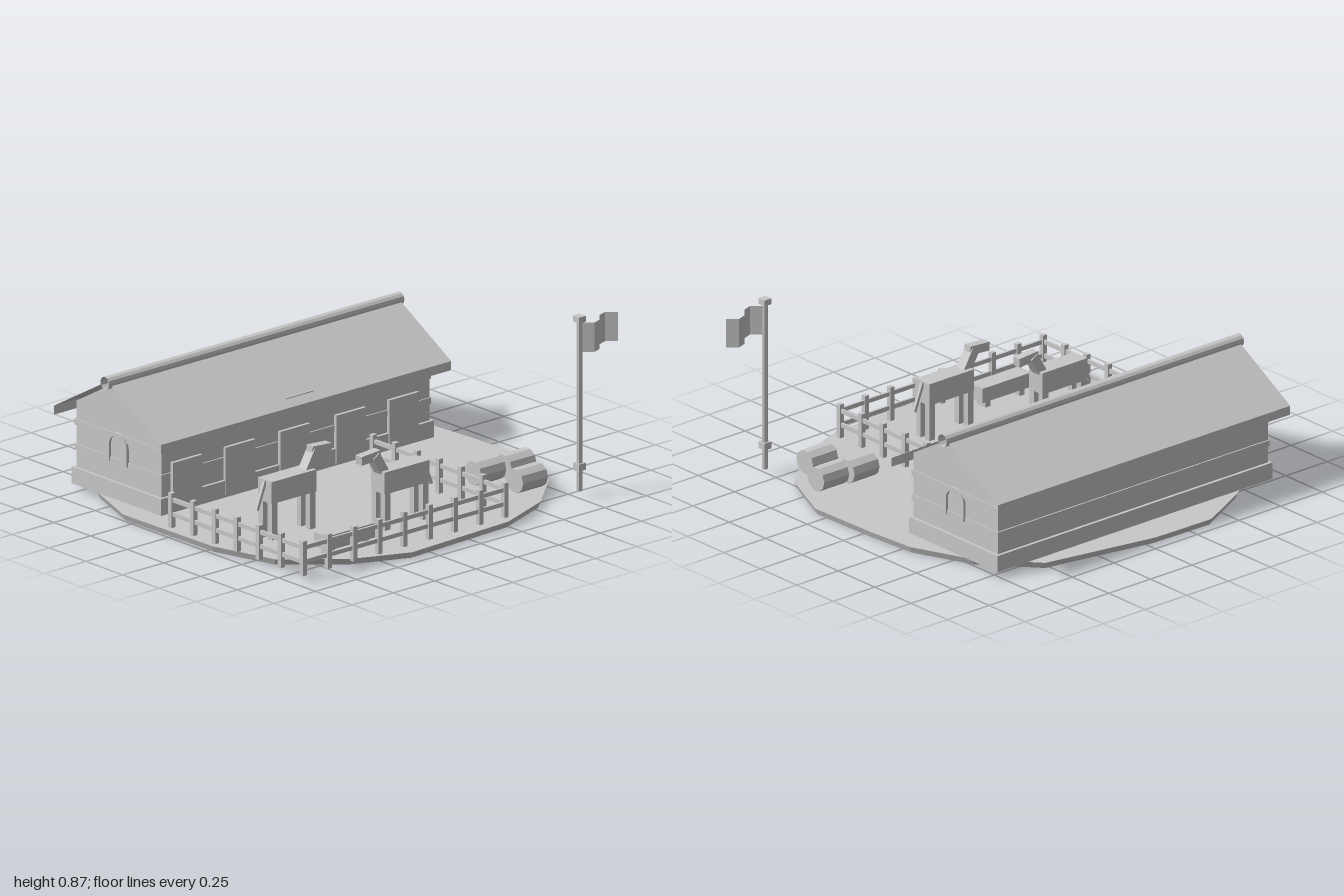
import * as THREE from 'three';

export function createModel() {
  const root = new THREE.Group();
  const clay = new THREE.MeshStandardMaterial({ color: 0xc8c8c8, flatShading: true, side: THREE.DoubleSide });
  clay.name = 'plain grey';

  const group = (name, parent = root) => {
    const g = new THREE.Group();
    g.name = name;
    parent.add(g);
    return g;
  };
  const mesh = (name, geo, parent = root) => {
    const m = new THREE.Mesh(geo, clay);
    m.name = name;
    parent.add(m);
    return m;
  };
  // Box given by its lower and upper limits on each axis
  const box = (name, x0, x1, y0, y1, z0, z1, parent) => {
    const m = mesh(name, new THREE.BoxGeometry(x1 - x0, y1 - y0, z1 - z0), parent);
    m.position.set((x0 + x1) / 2, (y0 + y1) / 2, (z0 + z1) / 2);
    return m;
  };
  // Bar running between two points in a plane of constant z
  const bar = (name, a, b, thick, width, parent) => {
    const dx = b[0] - a[0], dy = b[1] - a[1];
    const m = mesh(name, new THREE.BoxGeometry(Math.hypot(dx, dy), thick, width), parent);
    m.position.set((a[0] + b[0]) / 2, (a[1] + b[1]) / 2, 0);
    m.rotation.z = Math.atan2(dy, dx);
    return m;
  };
  // Sheet without thickness, made from a (y, z) profile swept along x
  const sheet = (name, profile, x0, x1, parent) => {
    const geo = new THREE.PlaneGeometry(1, 1, 1, profile.length - 1);
    const p = geo.attributes.position;
    for (let i = 0; i < p.count; i++) {
      const [y, z] = profile[i >> 1];
      p.setXYZ(i, i % 2 ? x1 : x0, y, z);
    }
    geo.computeVertexNormals();
    return mesh(name, geo, parent);
  };

  // Ground: irregular rounded slab, slightly narrower below
  const outline = [
    [0.9, 0.31], [0.77, 0.6], [0.53, 0.81], [0.24, 0.92], [-0.37, 0.95], [-0.65, 0.83],
    [-0.9, 0.61], [-0.99, 0.29], [-1, -0.31], [-0.88, -0.62], [-0.66, -0.81], [-0.37, -0.96],
    [-0.04, -0.955], [0.53, -0.85], [0.75, -0.6], [0.87, -0.31], [0.89, -0.05],
  ];
  const groundGeo = new THREE.ExtrudeGeometry(
    new THREE.Shape(outline.map(([x, z]) => new THREE.Vector2(x, -z))), { depth: 0.03, bevelEnabled: false });
  groundGeo.rotateX(-Math.PI / 2);
  const gp = groundGeo.attributes.position;
  for (let i = 0; i < gp.count; i++) {
    if (gp.getY(i) < 0.01) gp.setXYZ(i, gp.getX(i) * 0.988, 0, gp.getZ(i) * 0.988);
  }
  groundGeo.computeVertexNormals();
  mesh('ground', groundGeo);

  // Barn body: gabled block with horizontal boards
  const barn = group('barn');
  const alongX = (shape, x0, depth) => {
    const geo = new THREE.ExtrudeGeometry(shape, { depth, bevelEnabled: false, curveSegments: 8 });
    return geo.rotateY(Math.PI / 2).translate(x0, 0, 0);
  };
  const gable = new THREE.Shape([[0.195, 0.03], [0.775, 0.03], [0.775, 0.425], [0.485, 0.593], [0.195, 0.425]]
    .map(([u, y]) => new THREE.Vector2(u, y)));
  mesh('walls', alongX(gable, -0.87, 1.62), barn);
  box('baseCourse', -0.885, 0.765, 0.03, 0.11, -0.79, -0.18, barn);
  for (const [y0, y1] of [[0.19, 0.22], [0.31, 0.34]]) {
    box('wallBoard', -0.875, 0.755, y0, y1, -0.782, -0.188, barn);
  }

  // Arched window frames on both gable ends
  const arch = new THREE.Shape();
  arch.moveTo(0.417, 0.2).lineTo(0.432, 0.2).lineTo(0.432, 0.28);
  arch.absarc(0.485, 0.28, 0.053, Math.PI, 0, true);
  arch.lineTo(0.538, 0.2).lineTo(0.553, 0.2).lineTo(0.553, 0.28);
  arch.absarc(0.485, 0.28, 0.068, 0, Math.PI, false);
  for (const x of [-0.883, 0.75]) mesh('archFrame', alongX(arch, x, 0.013), barn);

  // Stable doors and the lintel beam
  for (const x of [-0.73, -0.41, -0.08, 0.26, 0.58]) {
    box('stableDoor', x - 0.09, x + 0.09, 0.04, 0.27, -0.19, -0.174, barn);
  }
  box('lintel', -0.62, 0.5, 0.335, 0.37, -0.19, -0.177, barn);

  // Roof sheets with hanging eaves and a ridge roll
  for (const s of [1, -1]) {
    const z = (d) => -0.49 + s * d;
    sheet('roofSlope', [[0.605, z(0)], [0.395, z(0.365)]], -0.935, 0.82, barn);
    sheet('eave', [[0.395, z(0.365)], [0.352, z(0.365)]], -0.935, 0.82, barn);
  }
  const ridge = mesh('ridgeRoll', new THREE.CylinderGeometry(0.03, 0.03, 1.785, 12, 1, true), barn);
  ridge.rotation.z = Math.PI / 2;
  ridge.position.set(-0.058, 0.6, -0.49);
  box('roofBatten', -0.14, 0.025, 0.41, 0.425, -0.181, -0.169, barn);

  // Paddock fence on three sides
  const fence = group('fence');
  const post = (x, z) => box('fencePost', x - 0.012, x + 0.012, 0.03, 0.195, z - 0.012, z + 0.012, fence);
  const xl = -0.95, xr = 0.27, zb = -0.035, zf = 0.86;
  for (let i = 0; i <= 8; i++) post(xl + (i * (xr - xl)) / 8, zf);
  for (let i = 0; i < 6; i++) for (const x of [xl, xr]) post(x, zb + (i * (zf - zb)) / 6);
  for (const y of [0.094, 0.162]) {
    box('fenceRail', xl, xr, y - 0.01, y + 0.01, zf - 0.006, zf + 0.006, fence);
    for (const x of [xl, xr]) box('fenceRail', x - 0.006, x + 0.006, y - 0.01, y + 0.01, zb, zf, fence);
  }

  // Horses, modelled facing +x about the body centre
  const horse = (x, z, turn) => {
    const h = group('horse');
    box('body', -0.135, 0.135, 0.205, 0.31, -0.047, 0.047, h);
    for (const lx of [-0.115, 0.115]) for (const lz of [-0.03, 0.03]) {
      box('leg', lx - 0.017, lx + 0.017, 0.03, 0.21, lz - 0.015, lz + 0.015, h);
    }
    bar('neck', [0.1, 0.28], [0.165, 0.39], 0.045, 0.052, h);
    bar('head', [0.135, 0.391], [0.25, 0.383], 0.042, 0.042, h);
    bar('tail', [-0.135, 0.305], [-0.185, 0.175], 0.014, 0.016, h);
    h.position.set(x, 0, z);
    h.rotation.y = turn;
  };
  horse(-0.605, 0.363, 0);
  horse(-0.135, 0.603, Math.PI);

  // Feeding trough
  const trough = group('trough');
  box('basin', -0.715, -0.42, 0.065, 0.135, 0.67, 0.76, trough);
  for (const x of [-0.67, -0.465]) box('troughLeg', x - 0.015, x + 0.015, 0.03, 0.07, 0.685, 0.745, trough);

  // Round bales lying along x
  for (const [x, z] of [[0.525, 0.44], [0.69, 0.46], [0.597, 0.643]]) {
    const b = mesh('bale', new THREE.CylinderGeometry(0.058, 0.058, 0.15, 10));
    b.rotation.z = Math.PI / 2;
    b.position.set(x, 0.088, z);
  }

  // Flagpole with collar, cap and waving flag
  const flag = group('flagpole');
  const pole = mesh('pole', new THREE.CylinderGeometry(0.014, 0.014, 0.81, 8), flag);
  pole.position.set(0.765, 0.435, 0.81);
  box('collar', 0.744, 0.786, 0.13, 0.163, 0.789, 0.831, flag);
  box('cap', 0.744, 0.786, 0.838, 0.866, 0.789, 0.831, flag);
  const cloth = new THREE.PlaneGeometry(0.225, 0.14, 5, 1);
  const cp = cloth.attributes.position;
  for (let i = 0; i < cp.count; i++) {
    cp.setZ(i, 0.042 * Math.sin(((cp.getX(i) + 0.1125) / 0.225) * Math.PI * 2));
  }
  cloth.computeVertexNormals();
  mesh('flagCloth', cloth, flag).position.set(0.8875, 0.76, 0.81);

  return root;
}
